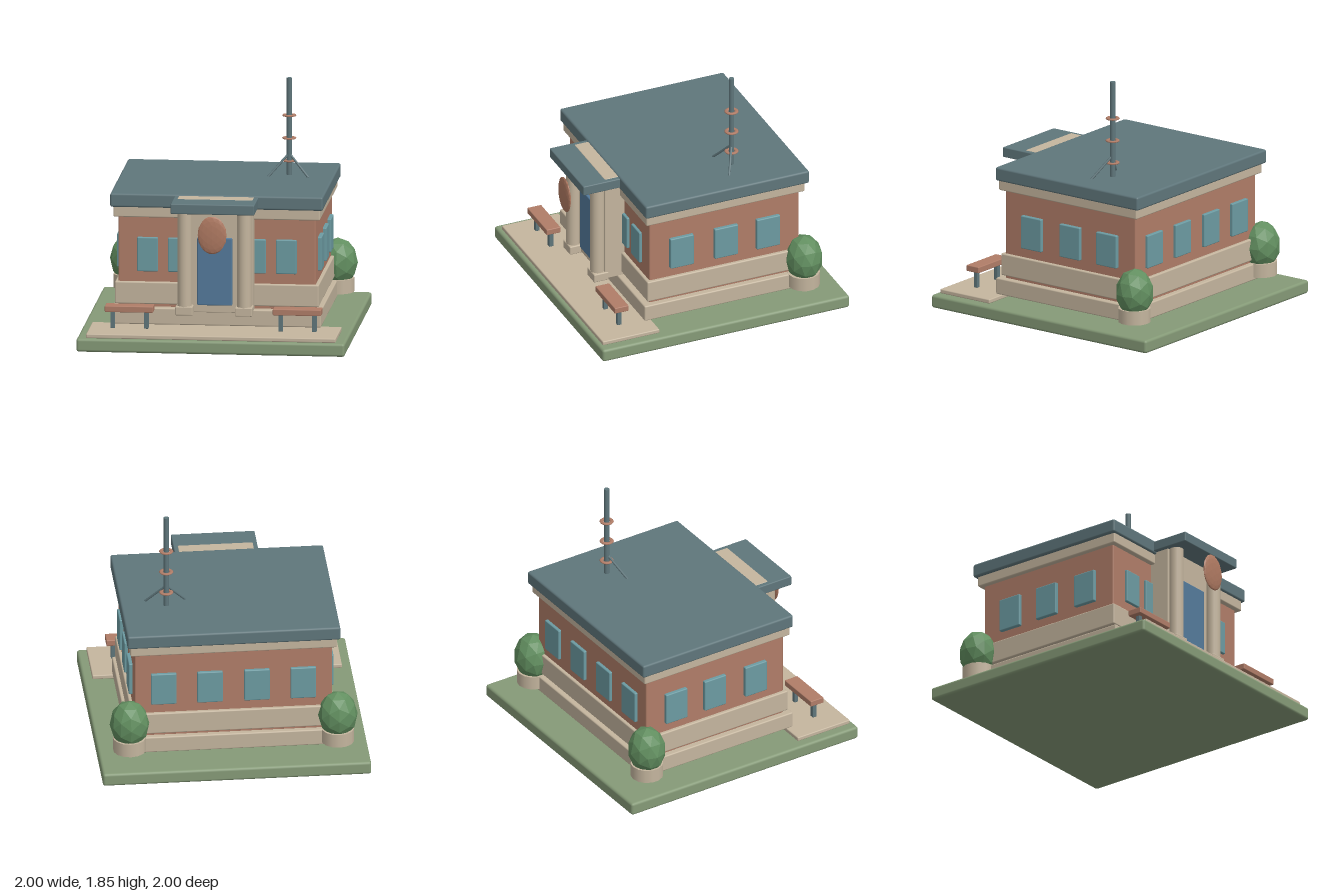
import * as THREE from 'three';
import { RoundedBoxGeometry } from 'three/addons/geometries/RoundedBoxGeometry.js';

const material = (name, color, flatShading = false) => {
  const m = new THREE.MeshStandardMaterial({ color, flatShading });
  m.name = name;
  return m;
};

export function createModel() {
  const model = new THREE.Group();
  model.name = 'smallCivicBuilding';

  const grass = material('grass', 0x859a77);
  const stone = material('stone', 0xc4b59e);
  const brick = material('brick', 0xb07d68);
  const slate = material('slate', 0x5f767b);
  const glass = material('glass', 0x6c9ba2);
  const doorBlue = material('doorBlue', 0x547a9b);
  const leaf = material('leaf', 0x628f60, true);
  const bronze = material('bronze', 0xb07a62, true);

  const add = (name, geometry, mat, x = 0, y = 0, z = 0, parent = model) => {
    const mesh = new THREE.Mesh(geometry, mat);
    mesh.name = name;
    mesh.position.set(x, y, z);
    parent.add(mesh);
    return mesh;
  };

  // Softly bevelled box given by its limits on each axis
  const box = (name, mat, [x0, x1], [y0, y1], [z0, z1], bevel = 0.008, parent = model) => {
    const w = x1 - x0, h = y1 - y0, d = z1 - z0;
    const r = Math.min(bevel, w * 0.45, h * 0.45, d * 0.45);
    return add(name, new RoundedBoxGeometry(w, h, d, 2, r), mat,
      (x0 + x1) / 2, (y0 + y1) / 2, (z0 + z1) / 2, parent);
  };

  // Straight rod between two points
  const rod = (name, mat, a, b, radius) => {
    const dir = b.clone().sub(a);
    const mesh = add(name, new THREE.CylinderGeometry(radius, radius, dir.length(), 8), mat);
    mesh.position.copy(a).add(b).multiplyScalar(0.5);
    mesh.quaternion.setFromUnitVectors(new THREE.Vector3(0, 1, 0), dir.normalize());
  };

  // Ground
  box('lawn', grass, [-1, 1], [0, 0.1], [-1, 1], 0.02);
  box('plaza', stone, [-0.93, 0.93], [0.1, 0.133], [0.51, 0.97]);

  // Building layers from the ground up
  box('foundation', stone, [-0.78, 0.78], [0.133, 0.258], [-0.745, 0.565], 0.01);
  box('walls', brick, [-0.735, 0.735], [0.25, 0.96], [-0.703, 0.507], 0.01);
  box('wainscot', stone, [-0.76, 0.76], [0.28, 0.447], [-0.728, 0.533], 0.01);
  box('frieze', stone, [-0.77, 0.77], [0.937, 1.03], [-0.738, 0.545], 0.01);
  box('roof', slate, [-0.793, 0.793], [1.013, 1.117], [-0.765, 0.56], 0.015);

  // Windows
  for (const x of [-0.517, -0.288, 0.288, 0.517]) {
    box('frontWindow', glass, [x - 0.077, x + 0.077], [0.525, 0.783], [0.495, 0.528]);
  }
  for (const x of [-0.52, -0.175, 0.175, 0.52]) {
    box('backWindow', glass, [x - 0.095, x + 0.095], [0.52, 0.773], [-0.727, -0.69]);
  }
  for (const z of [0.252, -0.107, -0.448]) {
    for (const side of [-1, 1]) {
      const x = side * 0.745;
      box('sideWindow', glass, [x - 0.018, x + 0.018], [0.52, 0.773], [z - 0.095, z + 0.095]);
    }
  }

  // Entrance block, door, canopy and medallion
  box('entranceBlock', stone, [-0.28, 0.28], [0.253, 1.108], [0.48, 0.668], 0.006);
  box('door', doorBlue, [-0.13, 0.13], [0.31, 0.82], [0.65, 0.69]);
  box('canopy', slate, [-0.312, 0.312], [1.028, 1.105], [0.52, 0.855]);
  const medallion = add('medallion', new THREE.IcosahedronGeometry(1, 2), bronze, 0, 0.877, 0.87);
  medallion.scale.set(0.109, 0.143, 0.02);

  for (const side of [-1, 1]) {
    // Columns on square bases
    const cx = side * 0.222;
    add('column', new THREE.CylinderGeometry(0.053, 0.053, 0.74, 16), stone, cx, 0.67, 0.703);
    box('columnBase', stone, [cx - 0.065, cx + 0.065], [0.243, 0.31], [0.638, 0.757]);

    // Benches
    const bench = new THREE.Group();
    bench.name = 'bench';
    bench.position.x = side * 0.626;
    model.add(bench);
    box('benchSeat', brick, [-0.18, 0.18], [0.27, 0.317], [0.705, 0.818], 0.006, bench);
    for (const x of [-0.125, 0.125]) {
      box('benchLeg', slate, [x - 0.017, x + 0.017], [0.142, 0.28], [0.747, 0.78], 0.004, bench);
    }

    // Round planters with shrubs at the back corners
    add('planter', new THREE.CylinderGeometry(0.122, 0.122, 0.105, 14), stone,
      side * 0.776, 0.206, -0.724);
    const shrub = add('shrub', new THREE.IcosahedronGeometry(1, 1), leaf,
      side * 0.776, 0.375, -0.726);
    shrub.scale.set(0.148, 0.185, 0.14);
  }

  // Roof mast with rings and two braces
  const mx = 0.458, mz = -0.28;
  add('mast', new THREE.CylinderGeometry(0.02, 0.02, 0.745, 12), slate, mx, 1.4775, mz);
  for (const y of [1.225, 1.395, 1.567]) {
    const ring = add('mastRing', new THREE.TorusGeometry(0.038, 0.015, 8, 20), brick, mx, y, mz);
    ring.rotation.x = Math.PI / 2;
    ring.scale.z = 0.5;
  }
  for (const side of [-1, 1]) {
    rod('mastBrace', slate, new THREE.Vector3(mx, 1.28, mz),
      new THREE.Vector3(mx + side * 0.152, 1.113, -0.195), 0.009);
  }
  return model;
}
